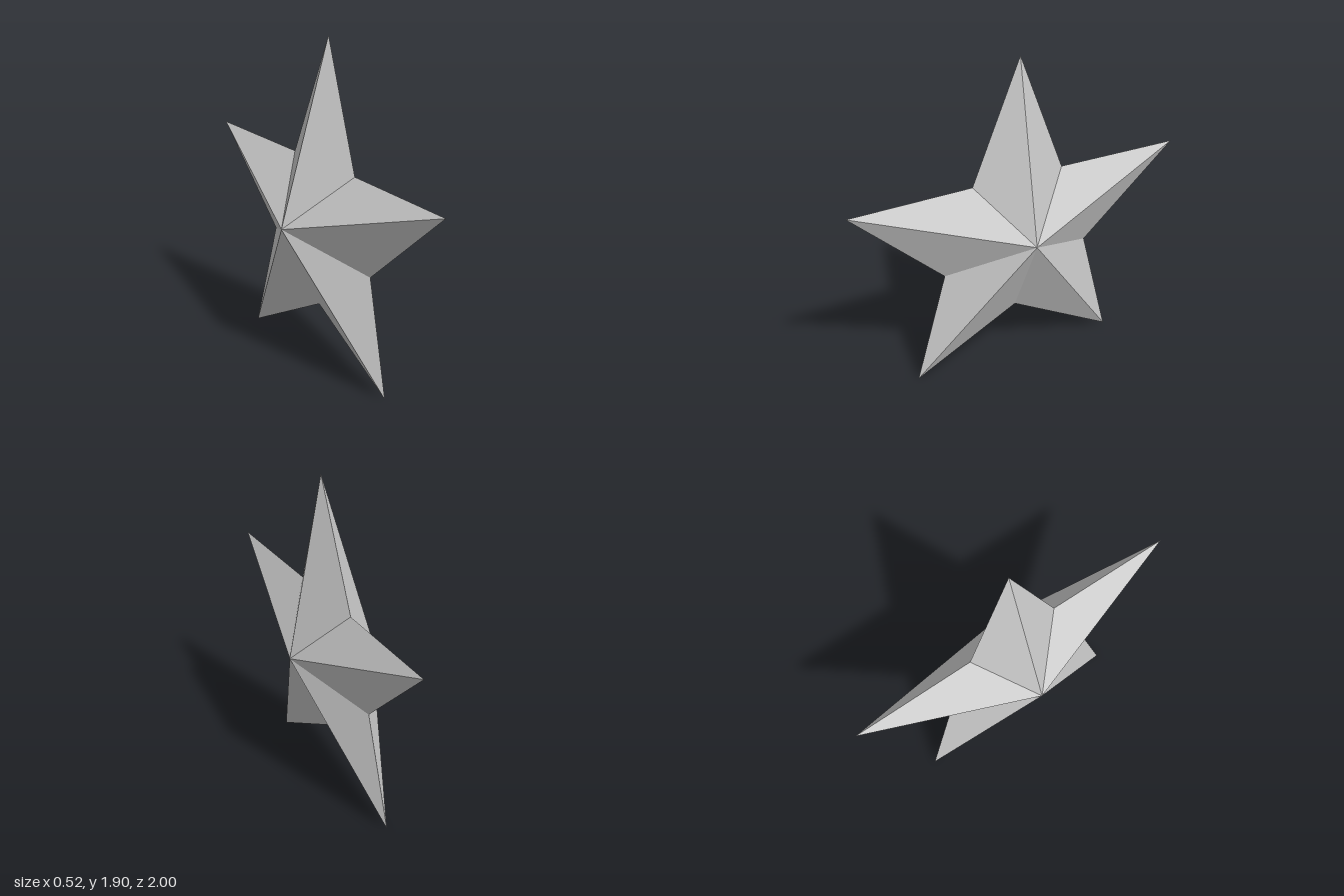
import * as THREE from 'three';

// Corner of the star outline, on a plane leaning slightly towards +x at the top.
function corner(i) {
  const isTip = i % 2 === 0;
  const radius = isTip ? 1.0515 : 0.468;
  const centreY = isTip ? 0.852 : 0.805;
  const a = (i * Math.PI) / 5;
  const y = centreY + radius * Math.cos(a);
  return [-0.015 + 0.0396 * y, y, radius * Math.sin(a)];
}

export function createModel() {
  const rightApex = [-0.26, 0.861, 0];
  const leftApex = [0.26, 0.853, 0];

  // Each outline edge joins to the apex on both sides.
  const positions = [];
  for (let i = 0; i < 10; i++) {
    const p = corner(i);
    const q = corner((i + 1) % 10);
    positions.push(...leftApex, ...p, ...q);
    positions.push(...rightApex, ...q, ...p);
  }
  const geometry = new THREE.BufferGeometry();
  geometry.setAttribute('position', new THREE.Float32BufferAttribute(positions, 3));
  geometry.computeVertexNormals();

  const star = new THREE.Mesh(
    geometry,
    new THREE.MeshStandardMaterial({ color: 0xcccccc, flatShading: true })
  );
  star.name = 'star';

  const group = new THREE.Group();
  group.name = 'facetedStar';
  group.add(star);
  return group;
}
